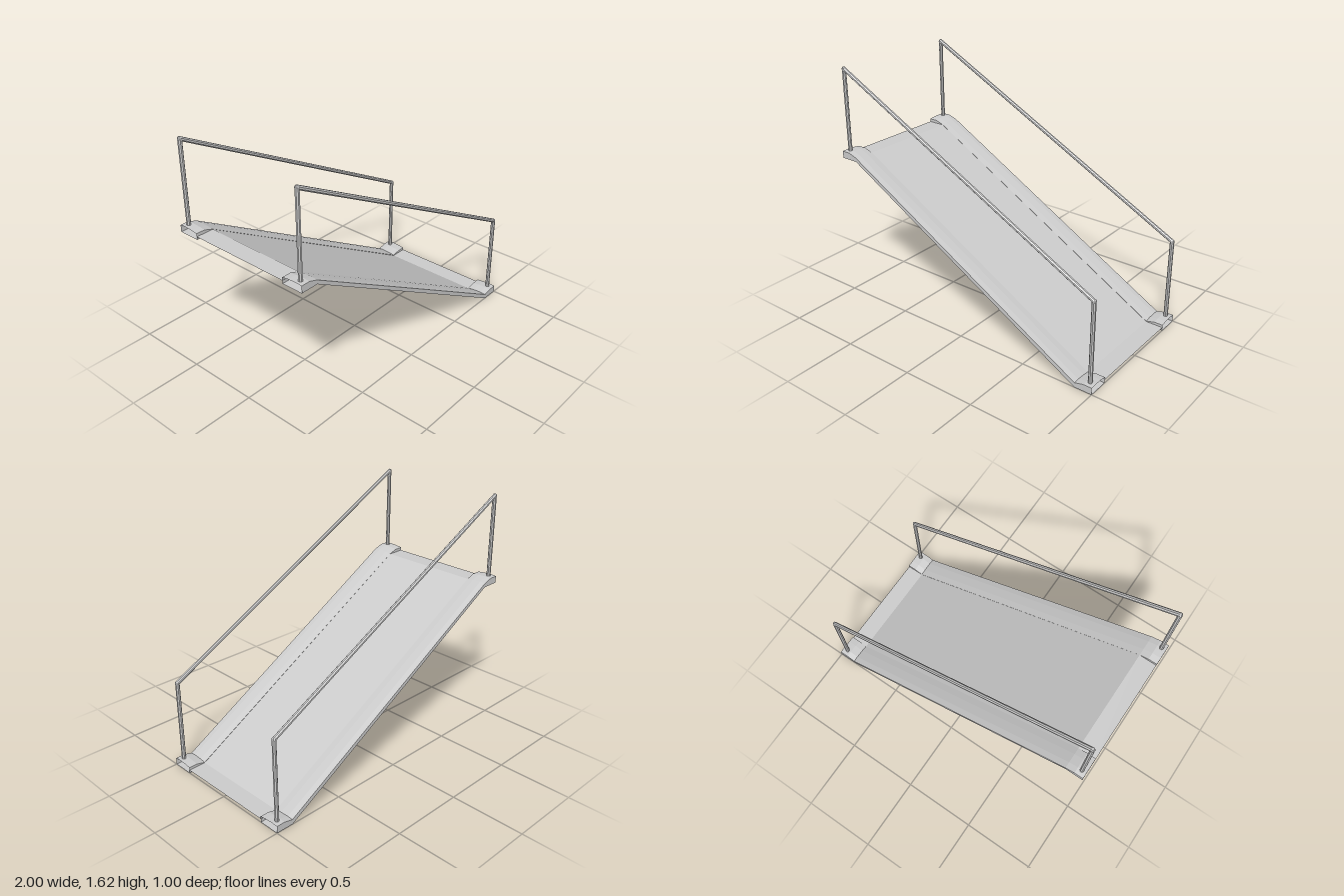
import * as THREE from 'three';

const surface = new THREE.MeshStandardMaterial({ color: 0xcccccc, flatShading: true, side: THREE.DoubleSide });

// Skins a row of cross-sections (arrays of [x, y, z]) into a surface
function loft(sections, closed) {
  const n = sections[0].length;
  const index = [];
  for (let i = 0; i < sections.length - 1; i++) {
    for (let j = 0; j < (closed ? n : n - 1); j++) {
      const k = (j + 1) % n;
      const a = i * n + j, b = a + n, c = (i + 1) * n + k, d = i * n + k;
      index.push(a, b, d, b, c, d);
    }
  }
  const indexed = new THREE.BufferGeometry();
  indexed.setAttribute('position', new THREE.Float32BufferAttribute(sections.flat(2), 3));
  indexed.setIndex(index);
  const geometry = indexed.toNonIndexed();
  geometry.computeVertexNormals();
  return geometry;
}

function addMesh(parent, name, geometry) {
  const mesh = new THREE.Mesh(geometry, surface);
  mesh.name = name;
  parent.add(mesh);
  return mesh;
}

// Straight round bar between two points
function addBar(parent, name, from, to, radius) {
  const along = to.clone().sub(from);
  const geometry = new THREE.CylinderGeometry(radius, radius, along.length(), 8);
  geometry.rotateY(Math.PI / 8);
  const bar = addMesh(parent, name, geometry);
  bar.position.copy(from).add(to).multiplyScalar(0.5);
  bar.quaternion.setFromUnitVectors(new THREE.Vector3(0, 1, 0), along.normalize());
}

// Hollow curb, open at both ends, with a gently crowned top
function createCurb() {
  // x, underside y, top y
  const stations = [
    [-1, 1, 1.05], [-0.94, 1, 1.05], [-0.88, 1, 1.03],
    [0.88, 0, 0.035], [0.94, 0, 0.05], [1, 0, 0.05],
  ];
  // z and drop from the crown
  const crown = [[0.5, 0.003], [0.46, 0], [0.4, 0.003], [0.355, 0.009]];
  return loft(stations.map(([x, bottom, top]) => [
    ...crown.map(([z, drop]) => [x, top - drop, z]),
    [x, bottom, 0.355],
    [x, bottom, 0.5],
  ]), true);
}

// One side of the ramp: curb, two posts and the sloping handrail
function createSide(name) {
  const side = new THREE.Group();
  side.name = name;
  addMesh(side, 'curb', createCurb());

  const radius = 0.014, z = 0.461;
  const upper = new THREE.Vector3(-0.968, 1.605, z);
  const lower = new THREE.Vector3(0.965, 0.602, z);
  addBar(side, 'upperPost', new THREE.Vector3(upper.x, 1.04, z), upper, radius);
  addBar(side, 'lowerPost', new THREE.Vector3(lower.x, 0.04, z), lower, radius);
  addBar(side, 'handrail', upper, lower, radius);
  for (const corner of [upper, lower]) {
    addMesh(side, 'railCorner', new THREE.SphereGeometry(radius * 1.05, 8, 6)).position.copy(corner);
  }
  return side;
}

export function createModel() {
  const model = new THREE.Group();
  model.name = 'ramp';

  // Thin walking surface with a short landing at each end
  const path = [[-1, 1.02], [-0.88, 1.02], [0.88, 0.023], [1, 0.023]];
  addMesh(model, 'deck', loft(path.map(([x, y]) => [[x, y, 0.356], [x, y, -0.356]]), false));

  const front = createSide('frontSide');
  const back = createSide('backSide');
  back.scale.z = -1;
  model.add(front, back);
  return model;
}
